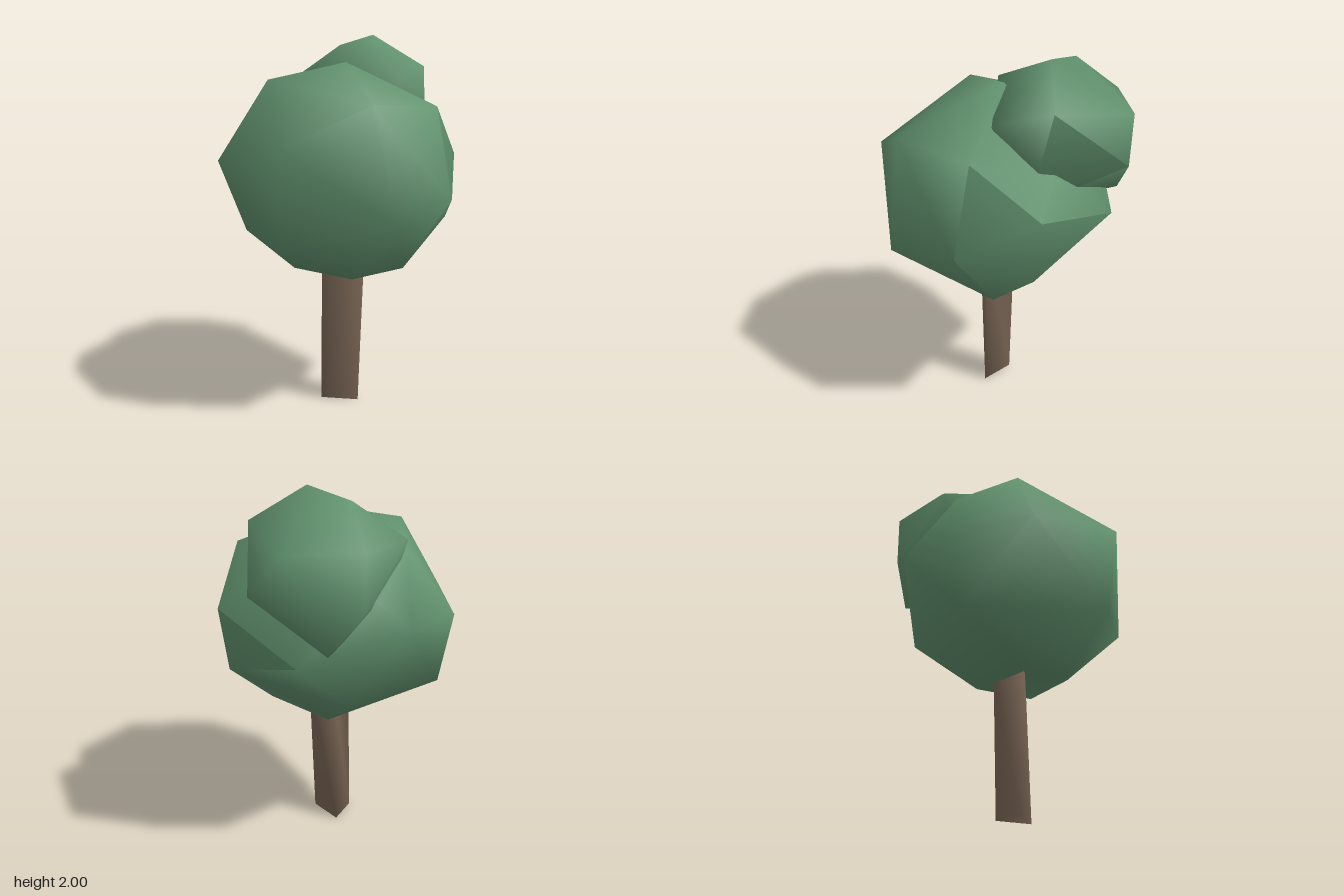
import * as THREE from 'three';
import { mergeVertices, mergeGeometries } from 'three/addons/utils/BufferGeometryUtils.js';
import { ConvexGeometry } from 'three/addons/geometries/ConvexGeometry.js';

// Share corners so the normals run smoothly over the whole surface
function smooth(positions) {
  const g = new THREE.BufferGeometry();
  g.setAttribute('position', new THREE.Float32BufferAttribute(positions, 3));
  const merged = mergeVertices(g, 1e-4);
  merged.computeVertexNormals();
  return merged;
}

// Leaf mass: smooth all round, except for a sheared side with a sharp border.
// A face belongs to the sheared side when all its corners do.
function leafMass(roundCorners, shearedCorners) {
  const toVectors = list => list.map(c => new THREE.Vector3(...c));
  const border = toVectors(shearedCorners);
  const p = new ConvexGeometry([...toVectors(roundCorners), ...border]).attributes.position;
  const round = [], sheared = [];
  for (let i = 0; i < p.count; i += 3) {
    const face = [0, 1, 2].map(k => new THREE.Vector3().fromBufferAttribute(p, i + k));
    const onShear = face.every(v => border.some(b => b.distanceTo(v) < 1e-3));
    for (const v of face) (onShear ? sheared : round).push(v.x, v.y, v.z);
  }
  return mergeGeometries([round, sheared].map(smooth));
}

export function createModel() {
  const tree = new THREE.Group();
  tree.name = 'tree';
  const leafGreen = new THREE.MeshStandardMaterial({ color: 0x62936f });
  leafGreen.name = 'leafGreen';
  const barkBrown = new THREE.MeshStandardMaterial({ color: 0x7a6655 });
  barkBrown.name = 'barkBrown';

  const add = (name, geometry, material) => {
    const mesh = new THREE.Mesh(geometry, material);
    mesh.name = name;
    tree.add(mesh);
  };

  // Three-sided trunk, leaning and widening slightly towards the top
  const trunk = new ConvexGeometry([
    [-0.19, 0, -0.04], [-0.05, 0, 0.11], [-0.025, 0, -0.083],
    [-0.195, 0.85, -0.02], [-0.005, 0.85, 0.11], [0.005, 0.85, -0.085],
  ].map(c => new THREE.Vector3(...c)));
  add('trunk', smooth(trunk.attributes.position.array), barkBrown);

  // Large lower crown
  add('mainCrown', leafMass([
    // top
    [-0.41, 1.76, -0.19], [-0.03, 1.85, -0.02], [-0.15, 1.69, -0.42], [0.25, 1.7, -0.15],
    // upper ring
    [-0.26, 1.65, 0.49], [-0.64, 1.45, 0.28], [0.42, 1.52, 0.1], [0.2, 1.5, -0.53],
    // middle ring
    [-0.21, 1.09, 0.62], [0.05, 1.35, -0.625], [-0.38, 1.31, -0.58],
    [-0.67, 1.35, -0.27], [-0.63, 0.97, 0.2],
    // lower ring and underside
    [0.27, 0.96, -0.43], [-0.38, 0.91, -0.5], [-0.2, 0.75, 0.25], [-0.3, 0.75, -0.13],
  ], [
    [0.19, 1.63, 0.45], [0.19, 1.17, 0.57], [0.49, 1.36, 0.28], [0.5, 1.19, -0.29],
    [0.44, 1.01, 0.27], [0.15, 0.755, 0.25], [0.1, 0.72, -0.13],
  ]), leafGreen);

  // Small upper crown
  add('upperCrown', leafMass([
    [0.22, 2.0, -0.1], [0.18, 1.95, -0.35], [-0.15, 1.83, -0.13], [-0.1, 1.74, -0.47],
    [0.31, 1.76, -0.555], [0.58, 1.76, -0.3], [0.13, 1.73, 0.23], [0.31, 1.48, -0.55],
    [0.43, 1.27, -0.43], [-0.05, 1.45, -0.4], [0.0, 1.4, 0.0],
  ], [
    [0.41, 1.83, 0.11], [0.665, 1.56, -0.15], [0.3, 1.25, -0.26], [0.25, 1.28, 0.02],
    [0.37, 1.54, 0.17],
  ]), leafGreen);

  return tree;
}
